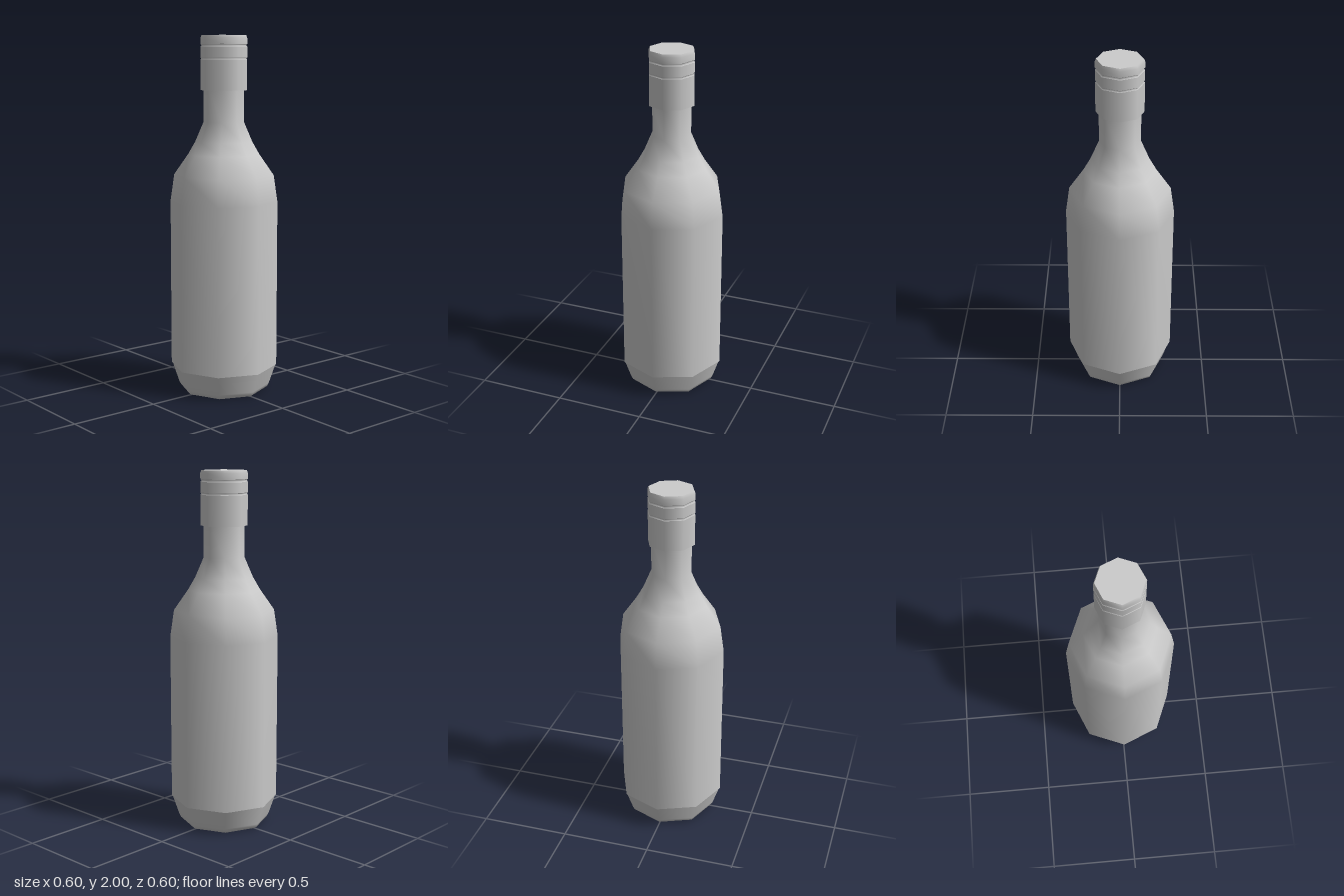
import * as THREE from 'three';

const SIDES = 8;
const grey = new THREE.MeshStandardMaterial({ color: 0xcccccc });

// Eight-sided turned part from [radius, height] pairs, listed from the bottom up
function turned(name, profile) {
  const points = profile.map(([r, y]) => new THREE.Vector2(r, y));
  const mesh = new THREE.Mesh(new THREE.LatheGeometry(points, SIDES), grey);
  mesh.name = name;
  return mesh;
}

export function createModel() {
  const bottle = new THREE.Group();
  bottle.name = 'bottle';

  bottle.add(
    // Flat underside and tapered foot
    turned('underside', [[0, 0], [0.235, 0]]),
    turned('foot', [[0.235, 0], [0.25, 0.01], [0.26, 0.03], [0.297, 0.14]]),
    turned('footLedge', [[0.297, 0.14], [0.302, 0.141]]),

    // Straight body, sloping shoulder and neck in one smooth skin
    turned('body', [
      [0.302, 0.141], [0.302, 1.08], [0.28, 1.23], [0.2, 1.345],
      [0.16, 1.415], [0.113, 1.525], [0.113, 1.72],
    ]),

    // Cap: lower rim, sleeve, two fine grooves and a bevelled top
    turned('capRim', [[0.113, 1.7], [0.13, 1.7]]),
    turned('capSleeve', [[0.13, 1.7], [0.13, 1.868]]),
    turned('capLowerGroove', [[0.13, 1.868], [0.125, 1.874], [0.13, 1.88]]),
    turned('capBand', [[0.13, 1.88], [0.13, 1.938]]),
    turned('capUpperGroove', [[0.13, 1.938], [0.124, 1.945], [0.13, 1.952]]),
    turned('capCrown', [[0.13, 1.952], [0.13, 1.985], [0.124, 2]]),
    turned('capTop', [[0.124, 2], [0, 2]]),
  );
  return bottle;
}
